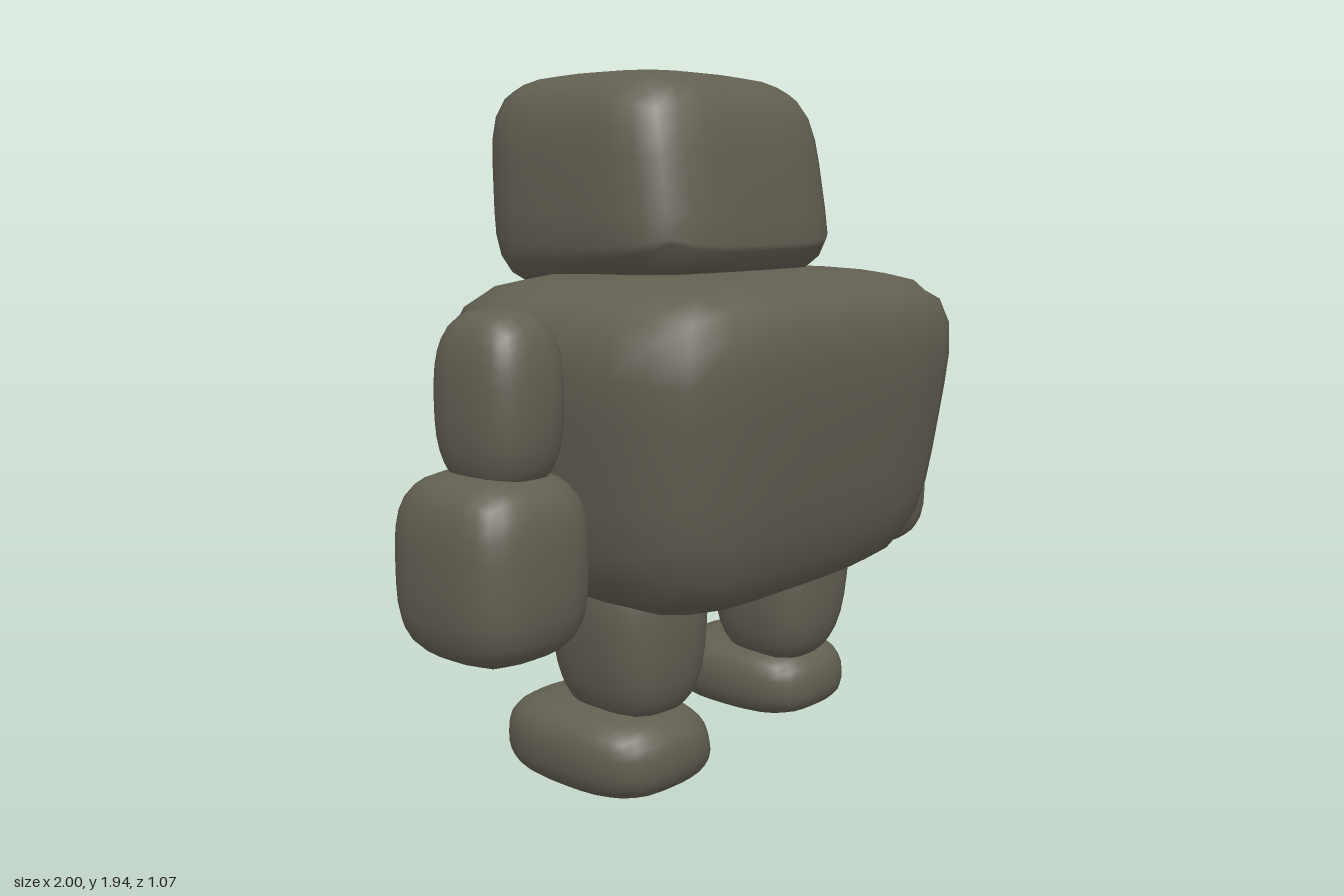
import * as THREE from 'three';
import { mergeVertices } from 'three/addons/utils/BufferGeometryUtils.js';

const stone = new THREE.MeshStandardMaterial({ color: 0x625f52 });
stone.name = 'stone';

// Boulder: a cube rounded by a power norm, then fitted between a bottom and a top rectangle.
// bottom / top = [xMin, xMax, zMin, zMax]
function boulder(name, yMin, yMax, bottom, top, power, warp) {
  let geo = new THREE.BoxGeometry(2, 2, 2, 8, 8, 8);
  geo.deleteAttribute('uv');
  geo.deleteAttribute('normal');
  geo = mergeVertices(geo);
  const pos = geo.attributes.position;
  const v = new THREE.Vector3();
  for (let i = 0; i < pos.count; i++) {
    v.fromBufferAttribute(pos, i);
    const norm = [v.x, v.y, v.z].reduce((s, c) => s + Math.abs(c) ** power, 0) ** (1 / power);
    v.divideScalar(norm);
    const t = (v.y + 1) / 2;
    const r = bottom.map((b, k) => THREE.MathUtils.lerp(b, top[k], t));
    v.set(
      THREE.MathUtils.lerp(r[0], r[1], (v.x + 1) / 2),
      THREE.MathUtils.lerp(yMin, yMax, t),
      THREE.MathUtils.lerp(r[2], r[3], (v.z + 1) / 2)
    );
    if (warp) warp(v);
    pos.setXYZ(i, v.x, v.y, v.z);
  }
  geo.computeVertexNormals();
  const mesh = new THREE.Mesh(geo, stone);
  mesh.name = name;
  return mesh;
}

export function createModel() {
  const model = new THREE.Group();
  model.name = 'stoneGolem';

  // Broad torso, narrower at the hips
  model.add(boulder('torso', 0.51, 1.41,
    [-0.61, 0.62, -0.43, 0.45], [-0.72, 0.73, -0.49, 0.57], 4.5));

  // Head set back on the shoulders, with one chipped corner standing out
  const chip = new THREE.Vector3(0.36, 1.82, -0.48);
  model.add(boulder('head', 1.32, 1.95,
    [-0.42, 0.42, -0.51, 0.28], [-0.4, 0.39, -0.54, 0.18], 4.3, (v) => {
      const w = Math.exp(-v.distanceToSquared(chip) / 0.012);
      v.x += 0.05 * w;
      v.y += 0.02 * w;
      v.z -= 0.05 * w;
      // underside drops slightly towards the back
      if (v.y < 1.45) v.y += 0.07 * (v.z + 0.5);
    }));

  // Arms: upper stone and heavier forearm
  model.add(boulder('leftUpperArm', 0.88, 1.355,
    [0.61, 0.95, -0.14, 0.19], [0.63, 0.95, -0.14, 0.2], 3.4));
  model.add(boulder('leftForearm', 0.47, 0.93,
    [0.61, 1.0, -0.22, 0.21], [0.61, 1.0, -0.21, 0.19], 3.4));
  model.add(boulder('rightUpperArm', 0.89, 1.345,
    [-0.91, -0.65, -0.14, 0.17], [-0.91, -0.64, -0.14, 0.17], 2.8));
  model.add(boulder('rightForearm', 0.475, 0.95,
    [-1.0, -0.61, -0.21, 0.22], [-1.0, -0.6, -0.21, 0.22], 3.4));

  // Short legs
  model.add(boulder('leftLeg', 0.2, 0.7,
    [0.17, 0.48, -0.13, 0.21], [0.14, 0.57, -0.16, 0.23], 3));
  model.add(boulder('rightLeg', 0.2, 0.7,
    [-0.5, -0.18, -0.14, 0.22], [-0.56, -0.14, -0.16, 0.24], 3));

  // Flat feet, the inner edges lower than the outer ones
  model.add(boulder('leftFoot', 0.03, 0.26,
    [0.15, 0.56, -0.34, 0.21], [0.15, 0.54, -0.32, 0.2], 2.9));
  model.add(boulder('rightFoot', 0.01, 0.26,
    [-0.58, -0.13, -0.31, 0.26], [-0.59, -0.18, -0.29, 0.26], 2.9, (v) => {
      if (v.y > 0.13) v.y -= 0.06 * Math.max(0, v.x + 0.36);
    }));

  return model;
}
